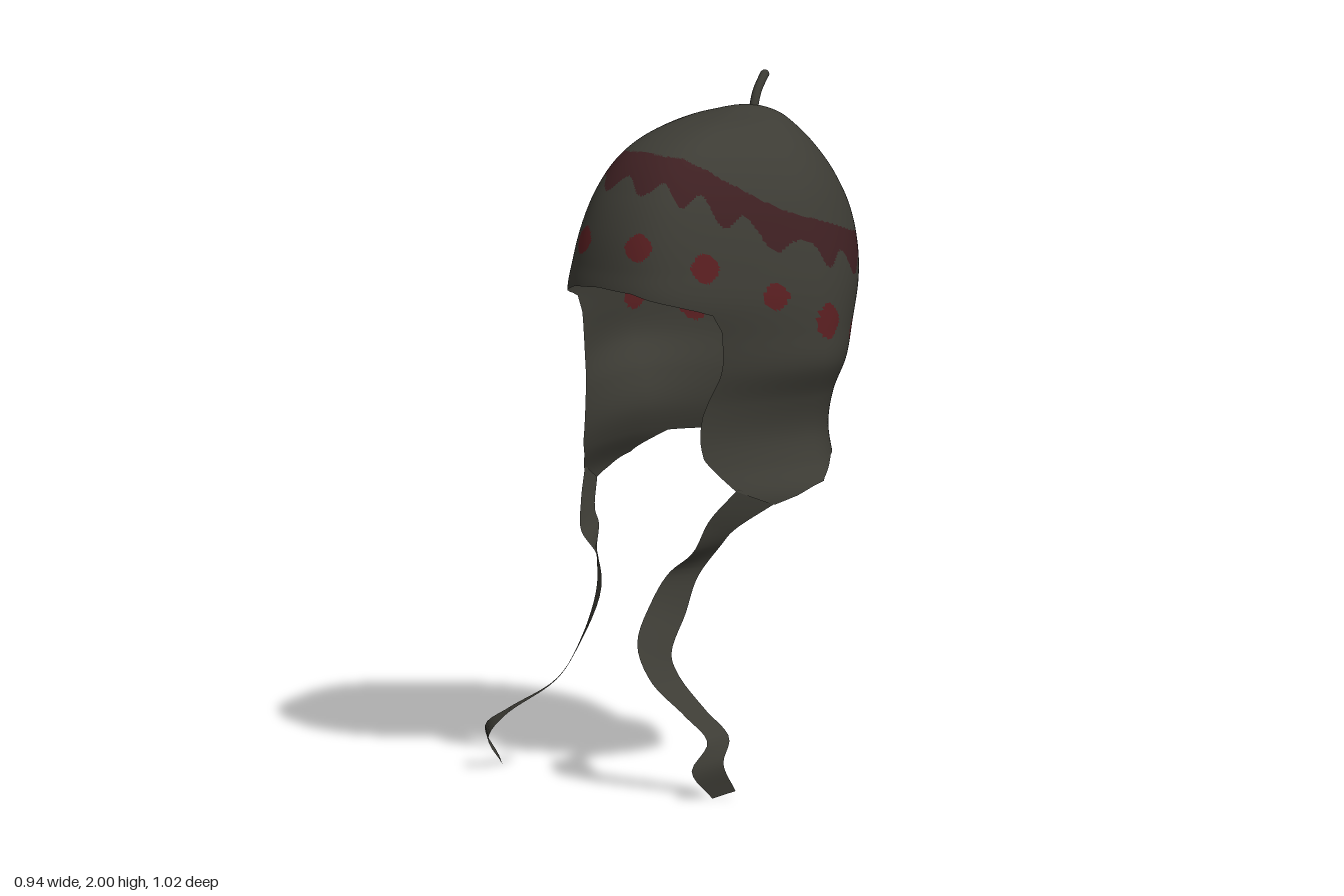
import * as THREE from 'three';
import { mergeVertices } from 'three/addons/utils/BufferGeometryUtils.js';

const wool = new THREE.MeshStandardMaterial({ name: 'charcoal wool', color: 0x3d3c35, side: THREE.DoubleSide });
const maroon = new THREE.MeshStandardMaterial({ name: 'maroon band', color: 0x3e2022, side: THREE.DoubleSide });
const red = new THREE.MeshStandardMaterial({ name: 'red spots', color: 0x5a1f21, side: THREE.DoubleSide });

const lerp = THREE.MathUtils.lerp;
const TOP = 1.908, SEAM = 1.37, EDGE = 56; // crown height, skirt start, face opening angle

// piecewise linear lookup in a list of [key, value]
function table(rows, k) {
  if (k <= rows[0][0]) return rows[0][1];
  for (let i = 1; i < rows.length; i++) {
    const [k0, v0] = rows[i - 1], [k1, v1] = rows[i];
    if (k <= k1) return lerp(v0, v1, (k - k0) / (k1 - k0));
  }
  return rows[rows.length - 1][1];
}

// horizontal sections: y, half width, front z, back z, centre z
const sections = [
  [1.908, 0, -0.17, -0.17, -0.17], [1.895, 0.075, -0.05, -0.25, -0.15], [1.88, 0.125, 0.06, -0.285, -0.12],
  [1.85, 0.18, 0.17, -0.322, -0.1], [1.8, 0.235, 0.265, -0.37, -0.1], [1.7, 0.3, 0.35, -0.445, -0.1],
  [1.6, 0.336, 0.398, -0.495, -0.1], [1.5, 0.362, 0.425, -0.51, -0.1], [1.4, 0.38, 0.44, -0.5, -0.1],
  [1.3, 0.388, 0.4, -0.465, -0.1], [1.2, 0.388, 0.38, -0.425, -0.1], [1.1, 0.348, 0.41, -0.385, -0.1],
  [1.0, 0.332, 0.44, -0.37, -0.1], [0.92, 0.352, 0.44, -0.37, -0.1], [0.83, 0.395, 0.44, -0.37, -0.1],
  [0.73, 0.39, 0.44, -0.37, -0.1],
];
const section = new THREE.CubicInterpolant(
  sections.map((r) => Math.sqrt(TOP - r[0])), sections.flatMap((r) => r.slice(1)), 4, new Float32Array(4));

// point on the hat at an angle (0 front, 180 back) and height: blunt brow, flat cheeks, pointed back
function hatPoint(deg, y) {
  const [w, front, back, mid] = section.evaluate(Math.sqrt(Math.max(0, TOP - y)));
  const a = THREE.MathUtils.degToRad(deg), c = Math.cos(a), s = Math.sin(a);
  if (c > 0) return [w * s * (1 - 0.2 * Math.sin(2 * a) * s), y, mid + c ** 0.75 * (front - mid)];
  const taper = lerp(0.2, 0.1, THREE.MathUtils.smoothstep(y, 1.2, 1.5));
  return [deg >= 180 ? 0 : w * s * (1 - taper * c * c), y, mid + c * (mid - back)];
}

const rim = [[0, 1.447], [18, 1.437], [27, 1.42], [40, 1.402], [50, 1.385], [EDGE, SEAM]];
const openingEdge = [[0.85, 65], [0.94, 56], [1.07, 54], [1.2, 56], [1.32, 58], [SEAM, EDGE]];
const hem = [[65, 0.855], [77, 0.808], [84, 0.83], [92, 0.87], [110, 0.92], [140, 0.928], [160, 0.915], [180, 0.89]];
const bandTop = [[0, 1.818], [35, 1.808], [54, 1.775], [69, 1.725], [82, 1.665], [90, 1.625], [120, 1.56], [180, 1.48]];
const toothCount = [[0, 0], [13, 0.5], [40, 1.5], [62, 2.5], [80, 3.5], [96, 4.5], [118, 5.5], [144, 6.5], [168, 7.5], [180, 8]];
// spot angle, height, half width, half height
const spots = [
  [19, 1.568, 0.043, 0.044], [54, 1.507, 0.045, 0.046], [79, 1.413, 0.044, 0.041],
  [93, 1.327, 0.051, 0.053], [123, 1.272, 0.05, 0.041], [163, 1.25, 0.048, 0.042],
].map(([deg, y, w, h]) => ({ centre: hatPoint(deg, y), w, h }));

// 0 wool, 1 zigzag band, 2 spots
function paint(deg, y) {
  const below = table(bandTop, deg) - y;
  const tooth = 0.5 - 0.5 * Math.cos(2 * Math.PI * table(toothCount, deg));
  const side = Math.sin(THREE.MathUtils.degToRad(deg));
  if (below > 0 && below < 0.06 + 0.012 * side + (0.036 + 0.026 * side) * tooth) return 1;
  const [x, , z] = hatPoint(deg, y);
  for (const { centre, w, h } of spots) {
    const across = Math.hypot(x - centre[0], z - centre[2]) / w, up = Math.abs(y - centre[1]) / h;
    if (across ** 1.5 + up ** 1.5 < 1) return 2;
  }
  return 0;
}

function createHatShell() {
  const faces = [[], [], []];
  // grid of [angle, height] samples, laid on both sides
  function addGrid(cols, rows, sample) {
    for (let i = 0; i < cols; i++) for (let j = 0; j < rows; j++) {
      const q = [sample(i, j), sample(i, j + 1), sample(i + 1, j + 1), sample(i + 1, j)];
      const p = q.map(([d, y]) => hatPoint(d, y));
      for (const t of [[0, 1, 2], [0, 2, 3]]) {
        const deg = t.reduce((s, k) => s + q[k][0] / 3, 0), y = t.reduce((s, k) => s + q[k][1] / 3, 0);
        const out = faces[paint(deg, y)];
        for (const k of t) out.push(...p[k]);
        for (const k of [t[0], t[2], t[1]]) out.push(-p[k][0], p[k][1], p[k][2]);
      }
    }
  }
  const FRONT = 50, SIDE = 110;
  const column = (i) => (i <= FRONT ? EDGE * i / FRONT : lerp(EDGE, 180, (i - FRONT) / SIDE));
  // crown and brow
  addGrid(FRONT + SIDE, 90, (i, j) => {
    const d = column(i);
    return [d, lerp(TOP, table(rim, d), (j / 90) ** 1.4)];
  });
  // ear flaps and neck
  addGrid(SIDE, 50, (i, j) => {
    const s = i / SIDE, v = j / 50;
    const y = lerp(SEAM, table(hem, lerp(65, 180, s)), v);
    const d = lerp(table(openingEdge, lerp(SEAM, 0.85, v)), 180, s);
    return [d, y];
  });
  let geo = new THREE.BufferGeometry();
  geo.setAttribute('position', new THREE.Float32BufferAttribute(faces.flat(), 3));
  geo = mergeVertices(geo, 1e-4);
  let start = 0;
  faces.forEach((f, m) => {
    geo.addGroup(start, f.length / 3, m);
    start += f.length / 3;
  });
  geo.computeVertexNormals();
  const mesh = new THREE.Mesh(geo, [wool, maroon, red]);
  mesh.name = 'hatShell';
  mesh.position.x = -0.005;
  return mesh;
}

// ribbon stretched between two edge curves
function createStrap(name, pairs) {
  const [a, b] = [0, 3].map((o) =>
    new THREE.CatmullRomCurve3(pairs.map((p) => new THREE.Vector3(p[o], p[o + 1], p[o + 2]))));
  const N = 48, pos = [], index = [];
  for (let i = 0; i <= N; i++) {
    pos.push(...a.getPoint(i / N).toArray(), ...b.getPoint(i / N).toArray());
    const k = i * 2;
    if (i < N) index.push(k, k + 1, k + 2, k + 1, k + 3, k + 2);
  }
  const geo = new THREE.BufferGeometry();
  geo.setAttribute('position', new THREE.Float32BufferAttribute(pos, 3));
  geo.setIndex(index);
  geo.computeVertexNormals();
  const mesh = new THREE.Mesh(geo, wool);
  mesh.name = name;
  return mesh;
}

export function createModel() {
  const group = new THREE.Group();
  group.name = 'earflapHat';
  group.add(createHatShell());

  // straps start as the wide tips of the ear flaps
  group.add(createStrap('leftStrap', [
    [0.3, 0.86, 0.175, 0.347, 0.81, 0.075], [0.255, 0.77, 0.25, 0.275, 0.735, 0.17],
    [0.225, 0.68, 0.285, 0.24, 0.69, 0.185],
    [0.14, 0.61, 0.3, 0.2, 0.6, 0.24], [0.12, 0.53, 0.35, 0.2, 0.5, 0.29],
    [0.15, 0.42, 0.44, 0.21, 0.39, 0.36], [0.22, 0.32, 0.455, 0.24, 0.33, 0.36],
    [0.33, 0.23, 0.43, 0.33, 0.24, 0.345], [0.41, 0.16, 0.42, 0.43, 0.17, 0.35],
    [0.4, 0.08, 0.475, 0.455, 0.1, 0.4], [0.43, 0, 0.42, 0.47, 0.02, 0.365],
  ]));
  group.add(createStrap('rightStrap', [
    [-0.31, 0.86, 0.175, -0.357, 0.81, 0.075], [-0.255, 0.77, 0.25, -0.275, 0.735, 0.17],
    [-0.235, 0.69, 0.27, -0.25, 0.7, 0.18],
    [-0.19, 0.62, 0.25, -0.24, 0.63, 0.2], [-0.18, 0.52, 0.245, -0.23, 0.52, 0.21],
    [-0.2, 0.36, 0.32, -0.25, 0.38, 0.25], [-0.22, 0.27, 0.39, -0.29, 0.26, 0.31],
    [-0.32, 0.17, 0.495, -0.36, 0.18, 0.44], [-0.38, 0.1, 0.505, -0.42, 0.13, 0.475],
    [-0.435, 0, 0.39, -0.475, 0.015, 0.36],
  ]));

  // little stalk on the crown
  const path = new THREE.CatmullRomCurve3([
    new THREE.Vector3(0, 1.88, -0.2), new THREE.Vector3(-0.004, 1.94, -0.222), new THREE.Vector3(-0.01, 1.99, -0.262)]);
  const stalk = new THREE.Mesh(new THREE.TubeGeometry(path, 10, 0.013, 10), wool);
  stalk.name = 'stalk';
  const tip = new THREE.Mesh(new THREE.SphereGeometry(0.013, 10, 8), wool);
  tip.name = 'stalkTip';
  tip.position.set(-0.01, 1.987, -0.262);
  group.add(stalk, tip);
  return group;
}
